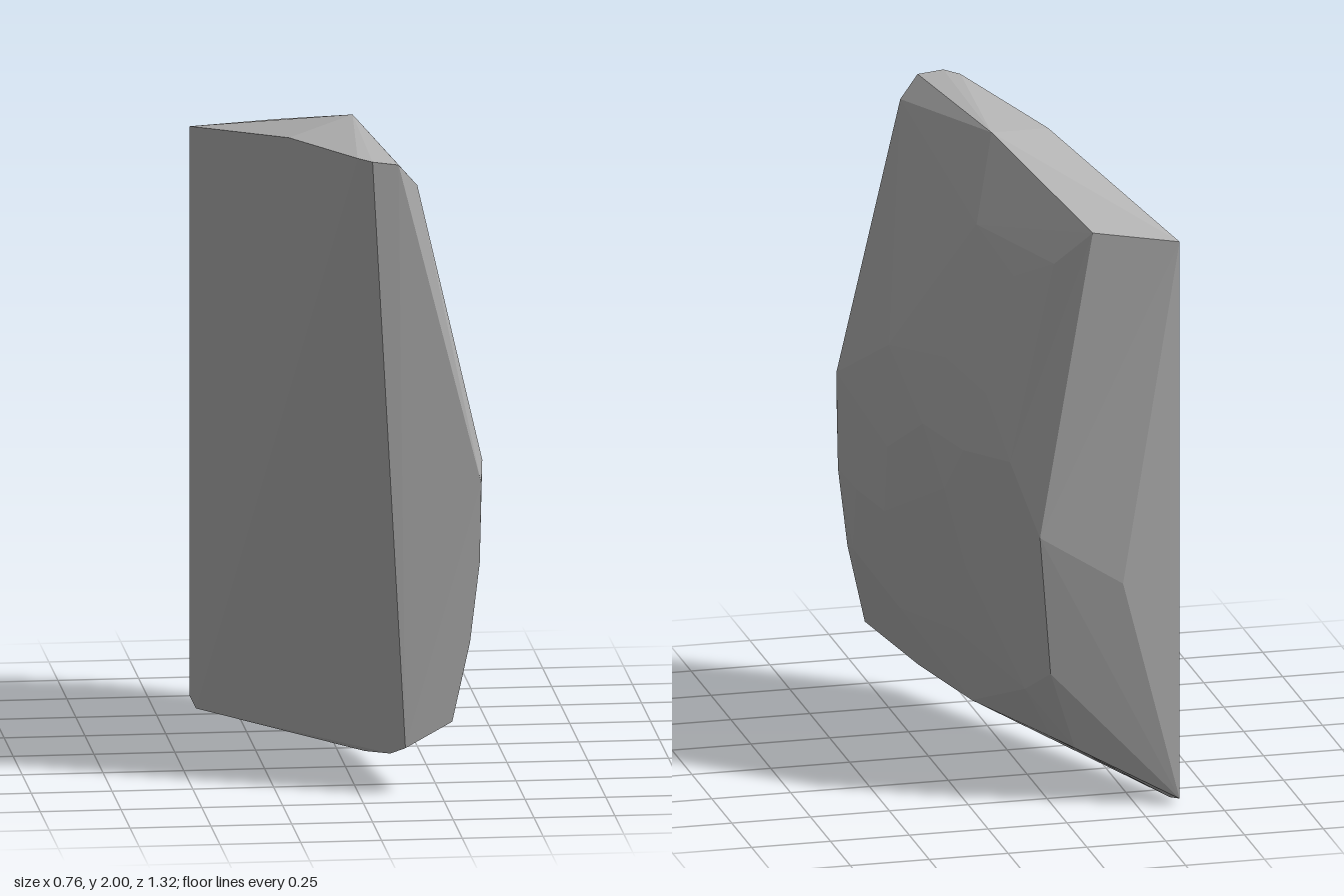
import * as THREE from 'three';
import { ConvexGeometry } from 'three/addons/geometries/ConvexGeometry.js';

// A faceted stone shard: one flat split face, a domed outer face, chipped ends.
export function createModel() {
  const stone = new THREE.MeshStandardMaterial({ color: 0xb4b4b4, flatShading: true });
  stone.name = 'stone grey';

  // Rim of the flat split face
  const splitFace = [
    [-0.38, 1.82, -0.66], [-0.16, 1.96, 0.12], [0, 2, 0.59], [0.04, 2, 0.645],
    [0.14, 0.15, 0.66], [0.1, 0.12, 0.6], [0.04, 0.09, 0.43],
    [-0.27, 0.02, -0.35], [-0.37, 0, -0.58], [-0.38, 0.02, -0.66],
  ];
  // Top ridge and the narrow front end
  const topAndFront = [
    [-0.12, 1.85, -0.6], [0.05, 2, 0], [0.12, 1.99, 0.65], [0.18, 1.92, 0.63],
    [0.38, 1.05, 0.64], [0.375, 0.98, 0.66], [0.37, 0.73, 0.66], [0.34, 0.48, 0.66],
  ];
  // Chipped back end
  const backEnd = [
    [-0.2, 0.73, -0.663], [0.05, 0.88, -0.61], [0.01, 0.43, -0.585], [-0.07, 0.18, -0.57],
  ];
  // Lower edge of the dome
  const lowerEdge = [
    [0.285, 0.23, 0.66], [0.23, 0.23, 0.2], [0.15, 0.22, -0.15], [-0.01, 0.2, -0.5],
  ];
  // Domed outer face
  const dome = [
    [-0.02, 1.73, -0.51], [0.07, 1.65, -0.36], [0.13, 1.75, -0.13], [0.17, 1.7, 0.23],
    [0.12, 1.1, -0.51], [0.16, 1.28, -0.36], [0.23, 1.33, -0.13], [0.315, 1.26, 0.24],
    [0.215, 1.08, -0.3], [0.25, 0.93, -0.2], [0.285, 1.1, -0.07], [0.335, 0.95, 0.18],
    [0.2, 0.69, -0.28], [0.335, 0.73, 0.22], [0.365, 0.73, 0.45], [0.345, 0.5, 0.57],
    [0.29, 0.42, 0.2], [0.2, 0.45, -0.15], [0.07, 0.36, -0.5],
  ];

  const points = [...splitFace, ...topAndFront, ...backEnd, ...lowerEdge, ...dome]
    .map((p) => new THREE.Vector3(...p));
  const shard = new THREE.Mesh(new ConvexGeometry(points), stone);
  shard.name = 'stoneShard';

  const group = new THREE.Group();
  group.name = 'stone';
  group.add(shard);
  return group;
}
